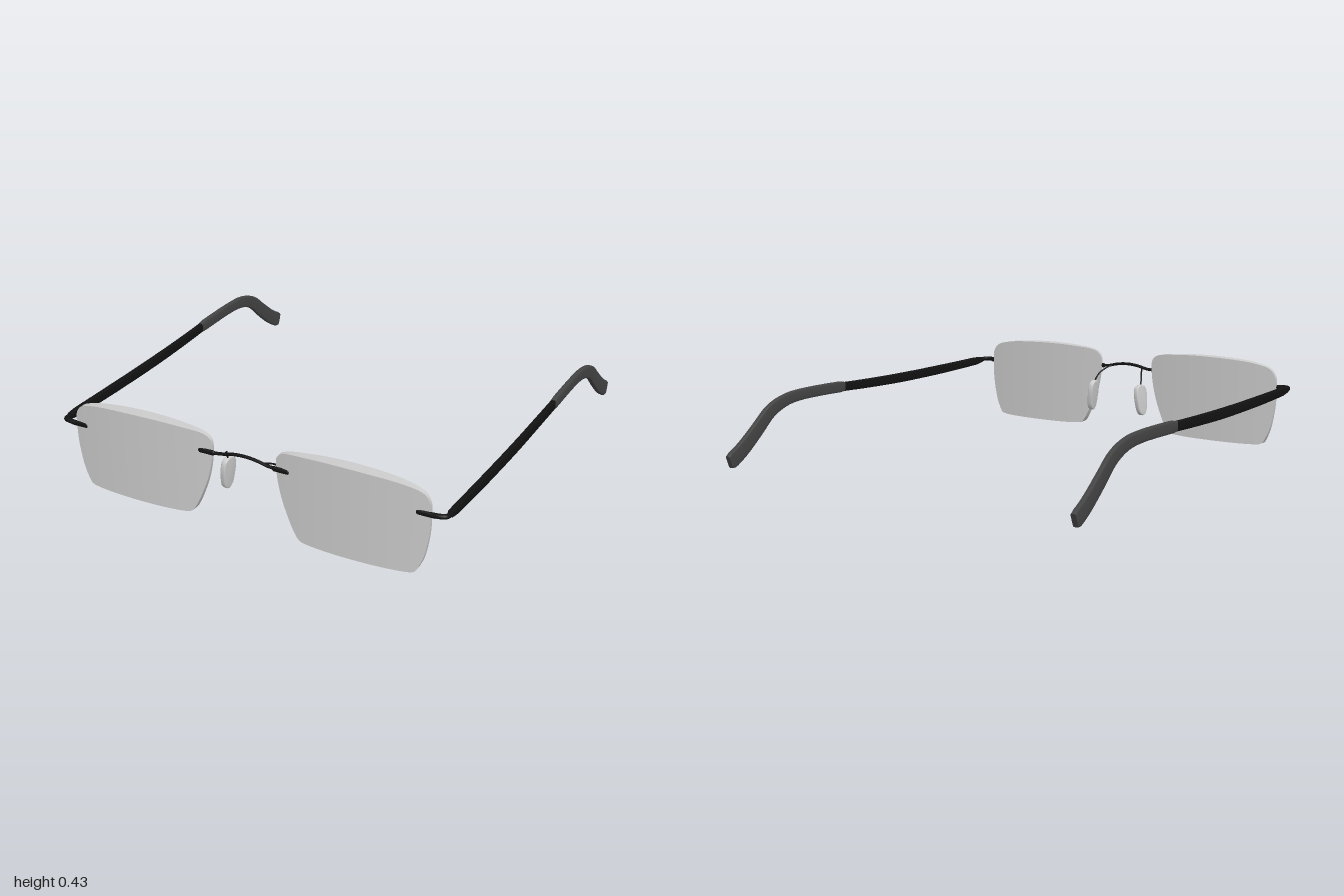
import * as THREE from 'three';
import { toCreasedNormals } from 'three/addons/utils/BufferGeometryUtils.js';

const mat = (color) => new THREE.MeshStandardMaterial({ color });
const metal = mat(0x121212);
const rubber = mat(0x444444);
const clear = mat(0xcccccc);
const V = (p) => new THREE.Vector3(p[0], p[1], p[2] || 0);
const spline = (pts, closed = false) => new THREE.CatmullRomCurve3(pts.map(V), closed, 'centripetal');

// Smooth normals with sharp edges; enlarged meanwhile so close vertices stay apart.
const creased = (g) => toCreasedNormals(g.scale(100, 100, 100), 0.6).scale(0.01, 0.01, 0.01);

// Skin a list of equal-length closed rings, optionally capping both ends.
function loft(rings, caps) {
  const n = rings[0].length, pos = [], idx = [];
  rings.forEach((r) => r.forEach((p) => pos.push(p.x, p.y, p.z)));
  for (let i = 0; i < rings.length - 1; i++) {
    for (let j = 0; j < n; j++) {
      const a = i * n + j, b = i * n + (j + 1) % n;
      idx.push(a, b, a + n, b, b + n, a + n);
    }
  }
  if (caps) {
    const last = (rings.length - 1) * n;
    for (let j = 1; j < n - 1; j++) {
      idx.push(0, j + 1, j, last, last + j, last + j + 1);
    }
  }
  const g = new THREE.BufferGeometry();
  g.setAttribute('position', new THREE.Float32BufferAttribute(pos, 3));
  g.setIndex(idx);
  return creased(g);
}

// Mirror a geometry in x and turn its faces back outward.
function mirrored(geo) {
  const g = geo.index ? geo.toNonIndexed() : geo.clone();
  for (const name of ['position', 'normal']) {
    const a = g.attributes[name];
    for (let i = 0; i < a.count; i += 3) {
      const v = [0, 2, 1].map((k) => new THREE.Vector3().fromBufferAttribute(a, i + k));
      v.forEach((p, k) => a.setXYZ(i + k, -p.x, p.y, p.z));
    }
  }
  return g;
}

// Lens: upper and lower outline joined, front and back bulging along x only.
function lensGeometry() {
  const top = spline([[0.157, 0.33], [0.16, 0.385], [0.185, 0.41], [0.32, 0.428], [0.55, 0.432],
    [0.76, 0.417], [0.84, 0.393], [0.866, 0.355], [0.87, 0.3]]);
  const bottom = spline([[0.157, 0.33], [0.165, 0.27], [0.19, 0.175], [0.25, 0.04], [0.27, 0.017],
    [0.3, 0.01], [0.53, 0.004], [0.78, 0.01], [0.806, 0.017], [0.82, 0.04], [0.842, 0.09],
    [0.866, 0.21], [0.87, 0.3]]);
  const rings = [], N = 64, M = 6;
  for (let i = 0; i <= N; i++) {
    const a = top.getPointAt(i / N), b = bottom.getPointAt(i / N), front = [], back = [];
    for (let j = 0; j <= M; j++) {
      const p = a.clone().lerp(b, j / M);
      const bulge = 1 - ((p.x - 0.5135) / 0.3565) ** 2;
      front.push(new THREE.Vector3(p.x, p.y, 0.974 + 0.025 * bulge));
      back.unshift(new THREE.Vector3(p.x, p.y, 0.96 - 0.02 * bulge));
    }
    rings.push([...front, ...back]);
  }
  return loft(rings, false);
}

// Bar of softened square section swept towards -z; each point is [x, y, z, height].
function barGeometry(points, width, steps) {
  const path = spline(points), rings = [], sides = 16;
  const round = (v) => Math.sign(v) * Math.abs(v) ** 0.35;
  for (let i = 0; i <= steps; i++) {
    const t = i / steps, c = path.getPoint(t), d = path.getTangent(t);
    const k = t * (points.length - 1), k0 = Math.min(Math.floor(k), points.length - 2);
    const h = THREE.MathUtils.lerp(points[k0][3], points[k0 + 1][3], k - k0);
    const up = new THREE.Vector3(0, -d.z, d.y).normalize();
    const ring = [];
    for (let j = 0; j < sides; j++) {
      const a = (-j / sides) * Math.PI * 2;
      const p = c.clone().addScaledVector(up, round(Math.sin(a)) * h / 2);
      p.x += round(Math.cos(a)) * width / 2;
      ring.push(p);
    }
    rings.push(ring);
  }
  return loft(rings, true);
}

const wire = (pts, r) => new THREE.TubeGeometry(spline(pts), 32, r, 10);

// Flattened pin lying along x with rounded ends.
function pinGeometry(x0, x1, y, z, r) {
  const g = new THREE.CapsuleGeometry(r, x1 - x0 - 2 * r, 6, 12);
  return g.rotateZ(Math.PI / 2).scale(1, 1, 0.7).translate((x0 + x1) / 2, y, z);
}

// Nose pad: a thin slab with softened edges, wider towards the top.
function padGeometry() {
  const outline = spline([[0, 0.078], [0.028, 0.068], [0.038, 0.035], [0.034, -0.02], [0.022, -0.062],
    [0, -0.076], [-0.022, -0.062], [-0.034, -0.02], [-0.038, 0.035], [-0.028, 0.068]], true);
  const shape = new THREE.Shape(outline.getPoints(40).slice(0, -1).map((p) => new THREE.Vector2(p.x, p.y)));
  const g = new THREE.ExtrudeGeometry(shape, { depth: 0.014, bevelEnabled: true,
    bevelThickness: 0.006, bevelSize: 0.005, bevelOffset: -0.002, bevelSegments: 3 });
  g.translate(0, 0, -0.007).rotateY(Math.PI / 2 + 0.12).rotateZ(0.1).translate(0.148, 0.185, 0.87);
  return creased(g);
}

export function createModel() {
  const group = new THREE.Group();
  group.name = 'eyeglasses';
  const add = (name, geo, material) => {
    const m = new THREE.Mesh(geo, material);
    m.name = name;
    group.add(m);
  };
  const pair = (name, geo, material) => {
    add(name + 'Left', geo, material);
    add(name + 'Right', mirrored(geo), material);
  };

  pair('lens', lensGeometry(), clear);

  // Bridge arch and the pins that hold the lenses
  add('bridge', wire([[-0.17, 0.332, 0.975], [-0.12, 0.334, 0.975], [-0.06, 0.347, 0.975],
    [0, 0.352, 0.975], [0.06, 0.347, 0.975], [0.12, 0.334, 0.975], [0.17, 0.332, 0.975]], 0.0075), metal);
  pair('bridgePin', pinGeometry(0.14, 0.225, 0.332, 0.978, 0.012), metal);
  pair('endPin', pinGeometry(0.805, 0.9, 0.305, 0.978, 0.012), metal);

  // End pieces turning back to the temples
  pair('endPiece', wire([[0.87, 0.305, 0.976], [0.91, 0.308, 0.976], [0.93, 0.308, 0.969],
    [0.938, 0.306, 0.95], [0.94, 0.302, 0.9]], 0.0115), metal);

  // Temples and ear tips
  pair('temple', barGeometry([[0.938, 0.305, 0.935, 0.026], [0.94, 0.302, 0.88, 0.04],
    [0.945, 0.292, 0.6, 0.046], [0.95, 0.286, 0.25, 0.048], [0.953, 0.288, 0, 0.046],
    [0.957, 0.293, -0.21, 0.044]], 0.025, 30), metal);
  pair('earTip', barGeometry([[0.957, 0.294, -0.195, 0.046], [0.957, 0.295, -0.23, 0.054],
    [0.958, 0.294, -0.5, 0.054], [0.959, 0.28, -0.61, 0.058], [0.96, 0.24, -0.71, 0.066],
    [0.96, 0.165, -0.8, 0.072], [0.96, 0.085, -0.9, 0.076], [0.96, 0.045, -0.965, 0.078],
    [0.96, 0.037, -0.986, 0.064]], 0.026, 40), rubber);

  // Nose pads on thin arms
  pair('padArm', wire([[0.09, 0.34, 0.974], [0.103, 0.332, 0.952], [0.117, 0.318, 0.922],
    [0.132, 0.295, 0.898], [0.14, 0.265, 0.88], [0.146, 0.22, 0.872]], 0.004), metal);
  pair('nosePad', padGeometry(), clear);

  return group;
}
